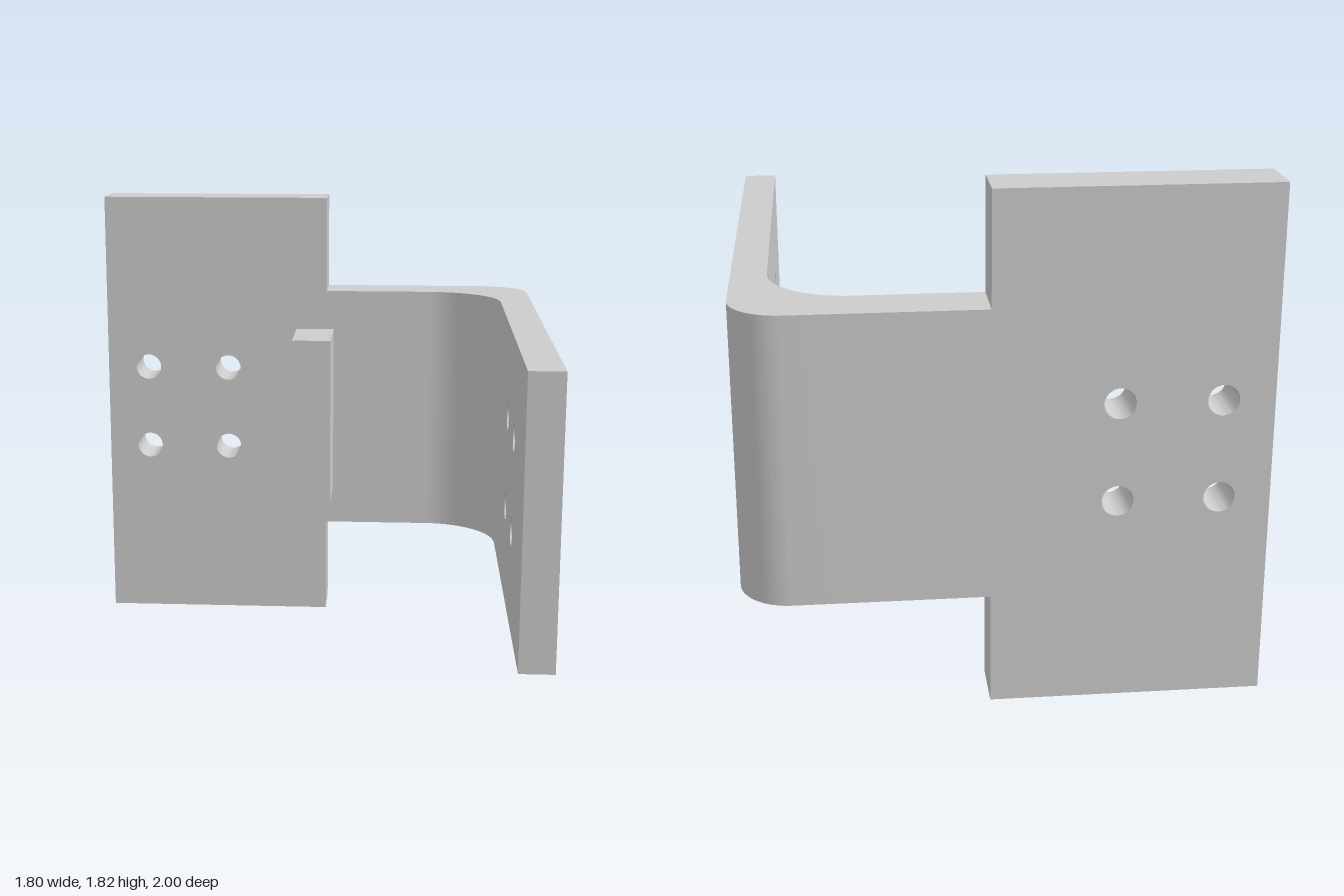
import * as THREE from 'three';
import { toCreasedNormals } from 'three/addons/utils/BufferGeometryUtils.js';

const BACK = -0.991, FACE = -0.797;      // back plate, rear and front z
const ARM_IN = 0.775, ARM_OUT = 0.9;     // side arm, inner and outer x
const LOW = 0.4, HIGH = 1.425;           // strap height range
const BEND_X = 0.49, BEND_Z = -0.515;    // where the bend meets the flats
const R_OUT = 0.18, HOLE_R = 0.054;

const material = new THREE.MeshStandardMaterial({ color: 0xcccccc });

// Removes the hidden end faces where two pieces join
function dropFaces(geometry, axis, value) {
  const p = geometry.attributes.position;
  const kept = [];
  for (let i = 0; i < p.count; i += 3) {
    const onPlane = [0, 1, 2].every((k) => Math.abs(p.getComponent(i + k, axis) - value) < 1e-4);
    if (onPlane) continue;
    for (let k = 0; k < 3; k++) kept.push(p.getX(i + k), p.getY(i + k), p.getZ(i + k));
  }
  const out = new THREE.BufferGeometry();
  out.setAttribute('position', new THREE.Float32BufferAttribute(kept, 3));
  return out;
}

function polygon(points) {
  return new THREE.Shape(points.map(([x, y]) => new THREE.Vector2(x, y)));
}

// Four bolt holes on a grid
function addHoles(shape, xs, ys) {
  for (const x of xs) for (const y of ys) {
    shape.holes.push(new THREE.Path().absarc(x, y, HOLE_R, 0, Math.PI * 2, true));
  }
}

function extrude(shape, depth) {
  return new THREE.ExtrudeGeometry(shape, { depth, bevelEnabled: false, curveSegments: 20 });
}

function addPart(group, name, geometry) {
  const mesh = new THREE.Mesh(toCreasedNormals(geometry, 0.5), material);
  mesh.name = name;
  group.add(mesh);
}

export function createModel() {
  const group = new THREE.Group();
  group.name = 'angleBracket';
  const body = new THREE.Group();
  body.name = 'bracketBody';
  group.add(body);

  // Tall back plate with the narrower strap leaving its side
  const plate = polygon([
    [-0.9, 0], [0.05, 0], [0.05, LOW], [BEND_X, LOW],
    [BEND_X, HIGH], [0.05, HIGH], [0.05, 1.82], [-0.9, 1.82],
  ]);
  addHoles(plate, [-0.725, -0.378], [0.738, 1.087]);
  const plateGeo = extrude(plate, FACE - BACK).translate(0, 0, BACK);
  addPart(body, 'backPlate', dropFaces(plateGeo, 0, BEND_X));

  // Rounded corner, drawn from above with shape y = -z
  const bend = new THREE.Shape();
  bend.moveTo(BEND_X, -FACE);
  bend.absellipse(BEND_X, -BEND_Z, ARM_IN - BEND_X, BEND_Z - FACE, Math.PI / 2, 0, true);
  bend.lineTo(ARM_OUT, -BEND_Z);
  bend.absarc(ARM_OUT - R_OUT, -BACK - R_OUT, R_OUT, 0, Math.PI / 2, false);
  bend.lineTo(BEND_X, -BACK);
  const bendGeo = extrude(bend, HIGH - LOW).rotateX(-Math.PI / 2).translate(0, LOW, 0);
  addPart(body, 'bend', dropFaces(dropFaces(bendGeo, 0, BEND_X), 2, BEND_Z));

  // Flat side arm, drawn from the side with shape x = -z
  const arm = polygon([[-1.002, LOW], [-BEND_Z, LOW], [-BEND_Z, HIGH], [-1.002, HIGH]]);
  addHoles(arm, [-0.47, -0.12], [0.74, 1.09]);
  const armGeo = extrude(arm, ARM_OUT - ARM_IN).rotateY(Math.PI / 2).translate(ARM_IN, 0, 0);
  addPart(body, 'sideArm', dropFaces(armGeo, 2, BEND_Z));

  // Stop block standing off the plate
  const depth = -0.495 - FACE;
  const block = new THREE.BoxGeometry(0.16, 0.7, depth).translate(0, 0.91, FACE + depth / 2);
  addPart(body, 'stopBlock', block);

  // The whole bracket leans back very slightly
  body.rotation.x = -0.005;
  body.position.y = 0.005;
  return group;
}
